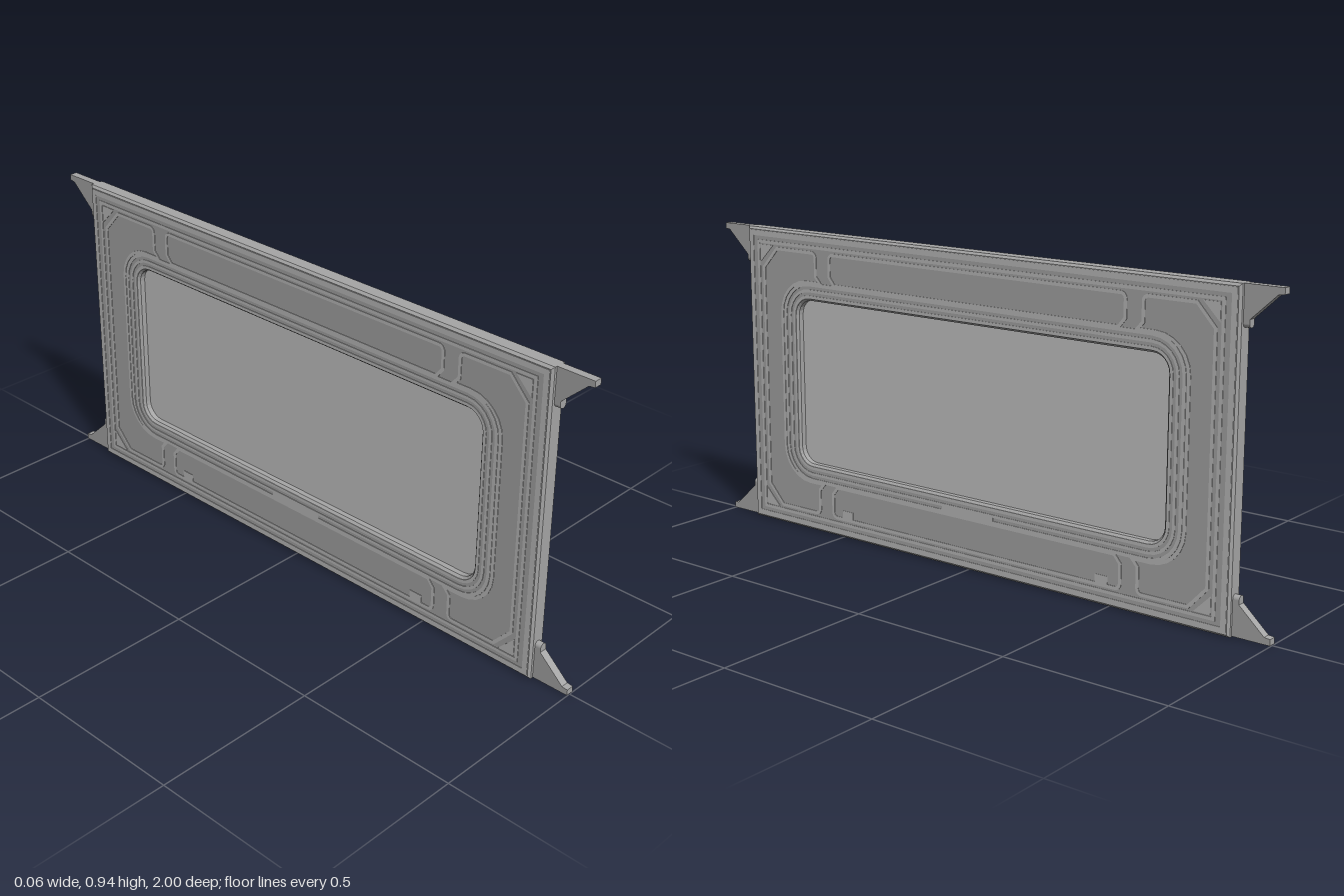
import * as THREE from 'three';

const H = 0.945, MID = H / 2, HALF_Z = 0.885, FACE = 0.0265;

const mat = (name, color) => {
  const m = new THREE.MeshStandardMaterial({ color });
  m.name = name;
  return m;
};

// Replaces each corner [x, y, radius] of a polygon with a short curve.
function roundCorners(pts) {
  const out = [];
  pts.forEach(([x, y, r = 0], i) => {
    const p = new THREE.Vector2(x, y);
    if (!r) return out.push(p);
    const n = pts.length, a = pts[(i + n - 1) % n], b = pts[(i + 1) % n];
    const from = new THREE.Vector2(a[0], a[1]).sub(p).setLength(r).add(p);
    const to = new THREE.Vector2(b[0], b[1]).sub(p).setLength(r).add(p);
    // control points placed so right angles become near-circular arcs
    const c1 = from.clone().lerp(p, 0.5523), c2 = to.clone().lerp(p, 0.5523);
    out.push(...new THREE.CubicBezierCurve(from, c1, c2, to).getPoints(6));
  });
  return out;
}

// Moves a counter-clockwise outline inwards by w.
function inset(pts, w) {
  const n = pts.length;
  return pts.map((p, i) => {
    const d1 = p.clone().sub(pts[(i + n - 1) % n]).normalize();
    const d2 = pts[(i + 1) % n].clone().sub(p).normalize();
    const n1 = new THREE.Vector2(-d1.y, d1.x), n2 = new THREE.Vector2(-d2.y, d2.x);
    const m = n1.clone().add(n2).normalize();
    return p.clone().addScaledVector(m, w / Math.max(0.3, m.dot(n1)));
  });
}

const rect = (x0, y0, x1, y1, r = 0) => [[x0, y0, r], [x1, y0, r], [x1, y1, r], [x0, y1, r]];

export function createModel() {
  const frameMat = mat('frame grey', 0xa6a6a6);
  const trimMat = mat('trim light grey', 0xbcbcbc);
  const paneMat = mat('pane pale grey', 0xc6c6c6);

  const model = new THREE.Group();
  model.name = 'wallPanel';
  const body = new THREE.Group();
  body.name = 'panelBody';
  body.rotation.y = Math.PI / 2;
  model.add(body);

  const add = (parent, name, geo, material) => {
    const mesh = new THREE.Mesh(geo, material);
    mesh.name = name;
    parent.add(mesh);
    return mesh;
  };

  // Frame with a chamfered outer edge and window opening
  const windowPts = rect(-0.675, 0.215, 0.675, 0.735, 0.05);
  const frameShape = new THREE.Shape(roundCorners(rect(-HALF_Z, 0, HALF_Z, H)));
  frameShape.holes.push(new THREE.Path(roundCorners(windowPts)));
  const b = 0.007;
  const frameGeo = new THREE.ExtrudeGeometry(frameShape, {
    depth: 2 * (FACE - b), bevelEnabled: true, bevelThickness: b, bevelSize: b, bevelOffset: -b, bevelSegments: 1,
  });
  frameGeo.translate(0, 0, -(FACE - b));
  add(body, 'frame', frameGeo, frameMat);

  // Recessed pane
  const pane = add(body, 'windowPane', new THREE.BoxGeometry(1.37, 0.54, 0.006), paneMat);
  pane.position.y = 0.475;

  // Raised trim, repeated on both faces
  const addTrim = (side) => {
    const plate = (name, pts, w = 0) => {
      let outline = roundCorners(pts);
      if (THREE.ShapeUtils.area(outline) < 0) outline.reverse();
      const shape = new THREE.Shape(outline);
      if (w) shape.holes.push(new THREE.Path(inset(outline, w)));
      const geo = new THREE.ExtrudeGeometry(shape, { depth: 0.0025, bevelEnabled: false });
      geo.translate(0, 0, FACE - 0.001);
      add(side, name, geo, trimMat);
    };

    // Border lines
    plate('outerBorder', rect(-0.876, 0.009, 0.876, H - 0.009), 0.017);
    plate('innerBorder', rect(-0.842, 0.038, 0.842, H - 0.038), 0.01);

    // Concentric lines around the window
    for (const [g, w] of [[0.017, 0.01], [0.036, 0.009], [0.057, 0.011]]) {
      plate('windowLine', rect(-0.675 - g, 0.215 - g, 0.675 + g, 0.735 + g, 0.05 + g), w);
    }

    // Long panels above and below the window
    plate('upperPanelLine', [[-0.543, 0.815], [-0.52, 0.787], [0.52, 0.787], [0.543, 0.815],
      [0.543, 0.89, 0.02], [-0.543, 0.89, 0.02]], 0.01);
    plate('lowerPanelLine', [[-0.543, 0.055, 0.02], [0.543, 0.055, 0.02], [0.543, 0.135],
      [0.52, 0.163], [-0.52, 0.163], [-0.543, 0.135]], 0.01);
    plate('lowerTab', rect(-0.095, 0.166, 0.095, 0.184));

    for (const s of [-1, 1]) {
      const flip = (pts) => pts.map(([x, y, r]) => [s * x, y, r]);
      // C-shaped side panels
      plate('sidePanelLine', flip([
        [0.76, 0.055], [0.59, 0.055, 0.02], [0.59, 0.135], [0.565, 0.163], [0.735, 0.163, 0.1],
        [0.735, 0.787, 0.1], [0.565, 0.787], [0.59, 0.815], [0.59, 0.89, 0.02], [0.76, 0.89],
        [0.82, 0.825], [0.82, 0.12]]), 0.01);
      // Corner gussets
      plate('cornerPlate', flip([[0.828, 0.052], [0.828, 0.105], [0.775, 0.052]]));
      plate('cornerPlate', flip([[0.828, 0.893], [0.828, 0.84], [0.775, 0.893]]));
      // Small square marks
      plate('squareMark', flip(rect(0.455, 0.062, 0.498, 0.088)));
    }
  };
  for (const turn of [0, Math.PI]) {
    const side = new THREE.Group();
    side.name = turn ? 'rightFaceTrim' : 'leftFaceTrim';
    side.rotation.y = turn;
    body.add(side);
    addTrim(side);
  }

  // Corner brackets: arm with diagonal brace, and a round-ended mounting plate
  const hw = 0.012;
  const braceSide = (up) => {
    const Y = (d) => (up ? H - d : d + 0.002);
    const shape = new THREE.Shape([[0.88, 0], [1, 0], [1, 0.018], [0.982, 0.02], [0.9, 0.095], [0.88, 0.095]]
      .map(([z, d]) => new THREE.Vector2(z, Y(d))));
    const brace = new THREE.ExtrudeGeometry(shape, { depth: 2 * hw, bevelEnabled: false });
    brace.translate(0, 0, -hw);
    brace.rotateY(-Math.PI / 2);

    const plate = new THREE.Shape();
    const end = 0.115 - hw;
    if (up) {
      plate.moveTo(hw, Y(0.001)).lineTo(-hw, Y(0.001)).lineTo(-hw, Y(end));
      plate.absarc(0, Y(end), hw, Math.PI, 2 * Math.PI, false);
    } else {
      plate.moveTo(-hw, Y(0.001)).lineTo(hw, Y(0.001)).lineTo(hw, Y(end));
      plate.absarc(0, Y(end), hw, 0, Math.PI, false);
    }
    const mount = new THREE.ExtrudeGeometry(plate, { depth: 0.024, bevelEnabled: false, curveSegments: 10 });
    mount.translate(0, 0, 0.88);
    return [brace, mount];
  };
  for (const up of [true, false]) {
    const [brace, mount] = braceSide(up);
    for (const front of [true, false]) {
      const bracket = new THREE.Group();
      bracket.name = (front ? 'front' : 'back') + (up ? 'Upper' : 'Lower') + 'Bracket';
      bracket.rotation.y = front ? 0 : Math.PI;
      add(bracket, 'brace', brace, frameMat);
      add(bracket, 'mountPlate', mount, frameMat);
      model.add(bracket);
    }
  }
  return model;
}
